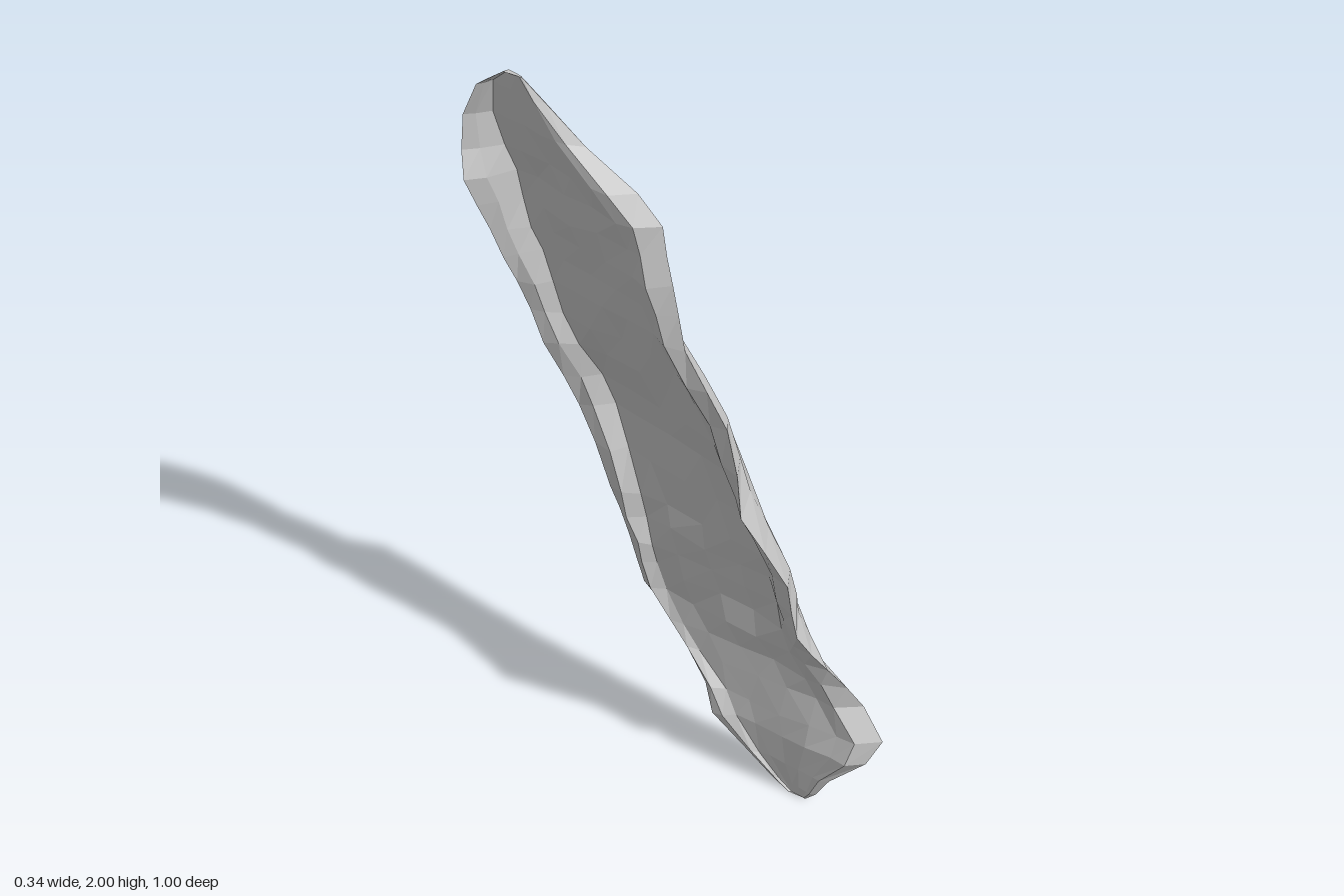
import * as THREE from 'three';

// Cross-sections: height, front z, back z, then x of front rim, front shoulder, back shoulder, back rim
const SECTIONS = [
  [0.00, 0.32, 0.27, 0.11, 0.115, 0.115, 0.105],
  [0.03, 0.35, 0.22, 0.11, 0.118, 0.12, 0.10],
  [0.10, 0.39, 0.15, 0.11, 0.125, 0.12, 0.085],
  [0.20, 0.48, 0.06, 0.135, 0.14, 0.125, 0.06],
  [0.27, 0.505, 0.02, 0.165, 0.155, 0.13, 0.08],
  [0.36, 0.45, -0.07, 0.16, 0.155, 0.135, 0.11],
  [0.50, 0.39, -0.18, 0.08, 0.135, 0.135, 0.09],
  [0.65, 0.35, -0.21, 0.00, 0.12, 0.125, 0.07],
  [0.80, 0.33, -0.25, -0.02, 0.095, 0.12, 0.045],
  [1.03, 0.25, -0.325, -0.10, 0.065, 0.122, 0.03],
  [1.12, 0.22, -0.35, -0.08, 0.045, 0.11, 0.00],
  [1.22, 0.18, -0.38, -0.06, 0.03, 0.065, -0.03],
  [1.40, 0.06, -0.42, -0.06, 0.00, 0.03, -0.07],
  [1.55, 0.02, -0.46, -0.05, -0.03, 0.012, -0.11],
  [1.70, -0.01, -0.48, -0.05, -0.05, -0.01, -0.17],
  [1.77, -0.07, -0.495, -0.06, -0.068, -0.03, -0.155],
  [1.86, -0.19, -0.49, -0.09, -0.09, -0.06, -0.15],
  [1.95, -0.28, -0.45, -0.115, -0.11, -0.095, -0.145],
  [2.00, -0.33, -0.38, -0.13, -0.125, -0.12, -0.135],
];

const lerp = THREE.MathUtils.lerp;

function seeded(seed) {
  return () => {
    seed = (seed * 16807) % 2147483647;
    return seed / 2147483647 - 0.5;
  };
}

// One closed ring: outer face from front to back, then the hollow inner face returning
function ring([y, zf, zb, xf, sf, sb, xb], rand, rough) {
  const width = zf - zb;
  const thick = Math.min(0.05, width * 0.1);
  const outer = [
    [0, xf], [0.07, lerp(xf, sf, 0.6)], [0.18, sf], [0.36, lerp(sf, sb, 0.3)],
    [0.54, lerp(sf, sb, 0.55)], [0.74, lerp(sf, sb, 0.8)], [0.9, sb],
    [0.96, lerp(xb, sb, 0.6)], [1, xb],
  ];
  const inner = outer.slice(1, -1).reverse().map(([u, x]) => [lerp(0.5, u, 0.93), x - thick]);
  return [...outer, ...inner].map(([u, x], i) => {
    const rim = i === 0 || i === 8;
    const amount = rough * Math.min(1, width * 2);
    return [
      x + rand() * amount * (rim ? 0.5 : 1),
      y + rand() * amount * 2,
      lerp(zf, zb, u) + rand() * amount * (rim ? 0.6 : 1.5),
    ];
  });
}

function barkGeometry() {
  const rand = seeded(71);
  const rows = [];
  SECTIONS.forEach((s, i) => {
    const end = i === 0 || i === SECTIONS.length - 1;
    rows.push(ring(s, rand, end ? 0 : 0.008));
    const next = SECTIONS[i + 1];
    // Extra row between widely spaced sections
    if (next && next[0] - s[0] > 0.11) {
      rows.push(ring(s.map((v, k) => (v + next[k]) / 2), rand, 0.012));
    }
  });
  const n = rows[0].length;
  const positions = rows.flat(2);
  const index = [];
  for (let r = 0; r < rows.length - 1; r++) {
    for (let j = 0; j < n; j++) {
      const a = r * n + j;
      const b = r * n + ((j + 1) % n);
      index.push(a, b, b + n, a, b + n, a + n);
    }
  }
  // Close both tips
  const top = (rows.length - 1) * n;
  for (let j = 1; j < n - 1; j++) {
    index.push(0, j + 1, j);
    index.push(top, top + j, top + j + 1);
  }
  const geometry = new THREE.BufferGeometry();
  geometry.setAttribute('position', new THREE.Float32BufferAttribute(positions, 3));
  geometry.setIndex(index);
  geometry.computeVertexNormals();
  return geometry;
}

export function createModel() {
  const group = new THREE.Group();
  group.name = 'barkPiece';
  const material = new THREE.MeshStandardMaterial({ color: 0xc8c8c8, flatShading: true, side: THREE.DoubleSide });
  material.name = 'light grey';
  const slab = new THREE.Mesh(barkGeometry(), material);
  slab.name = 'curvedSlab';
  group.add(slab);
  return group;
}
